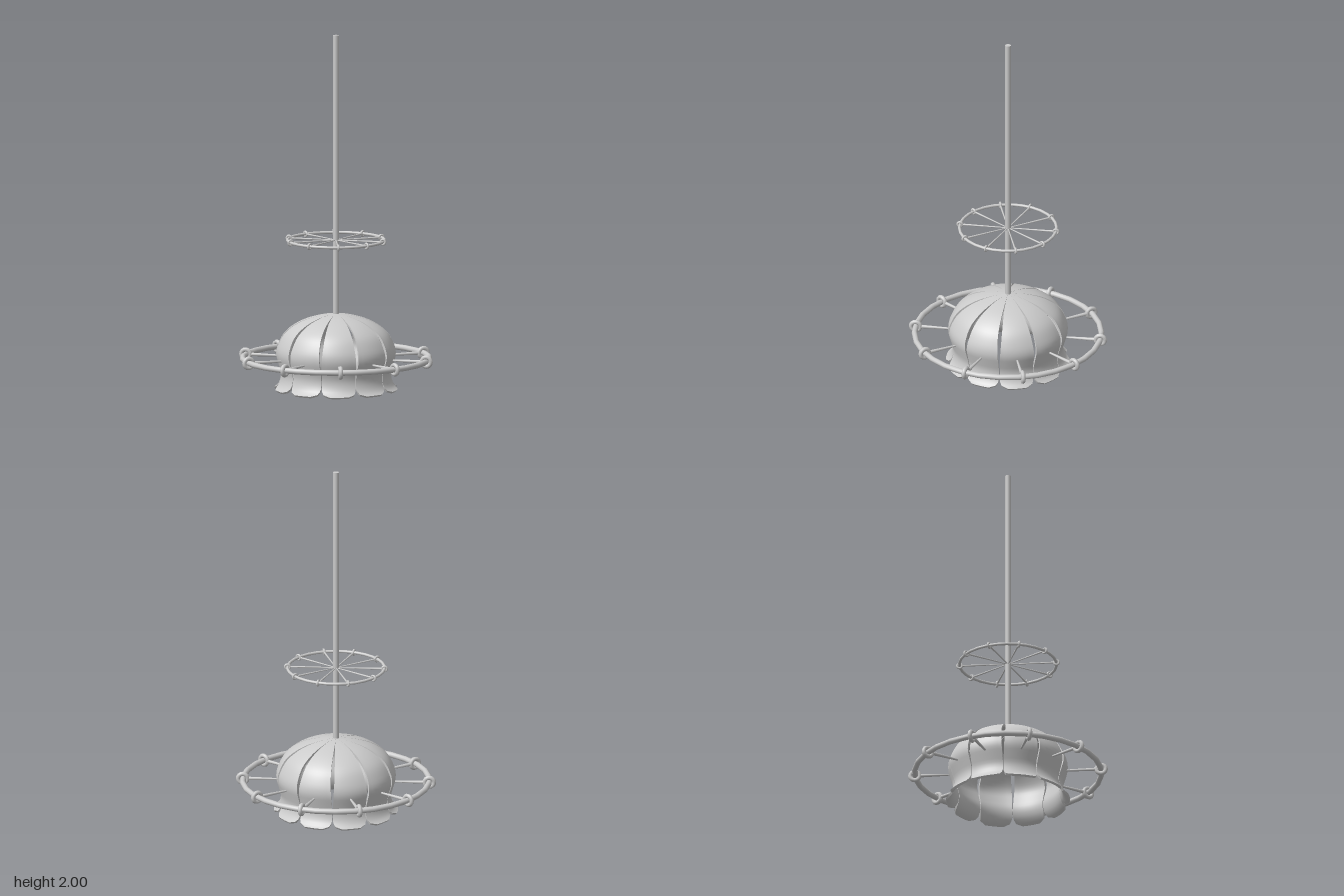
import * as THREE from 'three';
import { toCreasedNormals } from 'three/addons/utils/BufferGeometryUtils.js';

const COUNT = 10;
const STEP = (Math.PI * 2) / COUNT;
const OFFSET = THREE.MathUtils.degToRad(9);
const material = new THREE.MeshStandardMaterial({ color: 0xcccccc });

function mesh(name, geometry) {
  const m = new THREE.Mesh(geometry, material);
  m.name = name;
  return m;
}

// Calls make(i) for each sector and turns the result to its angle about y
function radial(parent, make) {
  for (let i = 0; i < COUNT; i++) {
    const part = make(i);
    part.rotation.y = -(OFFSET + i * STEP);
    parent.add(part);
  }
}

// One thick curved petal: a closed cross-section swept down the bell profile
function petalGeometry() {
  const profile = new THREE.SplineCurve([
    [0.004, 0.432], [0.1, 0.418], [0.2, 0.385], [0.28, 0.33], [0.322, 0.26], [0.333, 0.205],
    [0.32, 0.15], [0.307, 0.1], [0.311, 0.06], [0.326, 0.028], [0.346, 0.012],
  ].map(([r, y]) => new THREE.Vector2(r, y)));
  const rows = 36, cols = 8, thick = 0.012, loop = 2 * (cols + 1);
  const positions = [], index = [];
  for (let i = 0; i <= rows; i++) {
    const t = i / rows;
    const p = profile.getPointAt(t);
    const tan = profile.getTangentAt(t);
    // Gap opens towards the widest part, closes at the flare, then the corners round off
    let half = (STEP / 2) * (0.985 - 0.1 * Math.sin(Math.PI * Math.min(1, t / 0.92)) ** 2);
    const k = Math.max(0, (t - 0.9) / 0.1);
    half *= 0.5 + 0.5 * Math.sqrt(1 - k * k);
    for (let j = 0; j < loop; j++) {
      const inner = j > cols;
      const u = inner ? loop - 1 - j : j;
      const a = half * ((2 * u) / cols - 1);
      const d = inner ? thick : 0;
      const r = Math.max(0.002, p.x + tan.y * d);
      const y = Math.max(0, p.y - tan.x * d);
      positions.push(r * Math.cos(a), y, r * Math.sin(a));
    }
  }
  for (let i = 0; i < rows; i++) {
    for (let j = 0; j < loop; j++) {
      const a = i * loop + j, b = i * loop + ((j + 1) % loop);
      index.push(a, b, a + loop, b, b + loop, a + loop);
    }
  }
  // Lower edge
  const base = rows * loop;
  for (let j = 0; j < cols; j++) {
    const a = base + j, b = a + 1, c = base + loop - 1 - j, d = c - 1;
    index.push(a, b, c, b, d, c);
  }
  const g = new THREE.BufferGeometry();
  g.setAttribute('position', new THREE.Float32BufferAttribute(positions, 3));
  g.setIndex(index);
  return toCreasedNormals(g, 0.7);
}

// Ring with a collar and a tapering spoke in every sector
function wheel(name, spokeStart) {
  const R = 0.52;
  const group = new THREE.Group();
  group.name = name;
  group.add(mesh('rim', new THREE.TorusGeometry(R, 0.016, 10, 30).rotateX(Math.PI / 2)));
  const collar = new THREE.TorusGeometry(R * 0.05, 0.0125, 8, 16).translate(R, 0, 0);
  const length = R - spokeStart;
  const spoke = new THREE.CylinderGeometry(0.0055, 0.011, length, 8)
    .rotateZ(Math.PI / 2)
    .translate(spokeStart + length / 2, 0, 0);
  radial(group, () => {
    const sector = new THREE.Group();
    sector.name = 'spokeAndCollar';
    sector.add(mesh('collar', collar), mesh('spoke', spoke));
    return sector;
  });
  return group;
}

export function createModel() {
  const model = new THREE.Group();
  model.name = 'pendantBell';

  // Hanging rod
  const rod = mesh('rod', new THREE.CylinderGeometry(0.016, 0.016, 1.58, 12));
  rod.position.y = 1.21;
  model.add(rod);

  // Bell of petals
  const bell = new THREE.Group();
  bell.name = 'bell';
  const petal = petalGeometry();
  radial(bell, () => mesh('petal', petal));
  model.add(bell);

  // Large wheel around the bell, small wheel on the rod
  const lower = wheel('lowerWheel', 0.32);
  lower.position.y = 0.18;
  const upper = wheel('upperWheel', 0);
  upper.scale.setScalar(0.52);
  upper.position.y = 0.845;
  model.add(lower, upper);

  return model;
}
